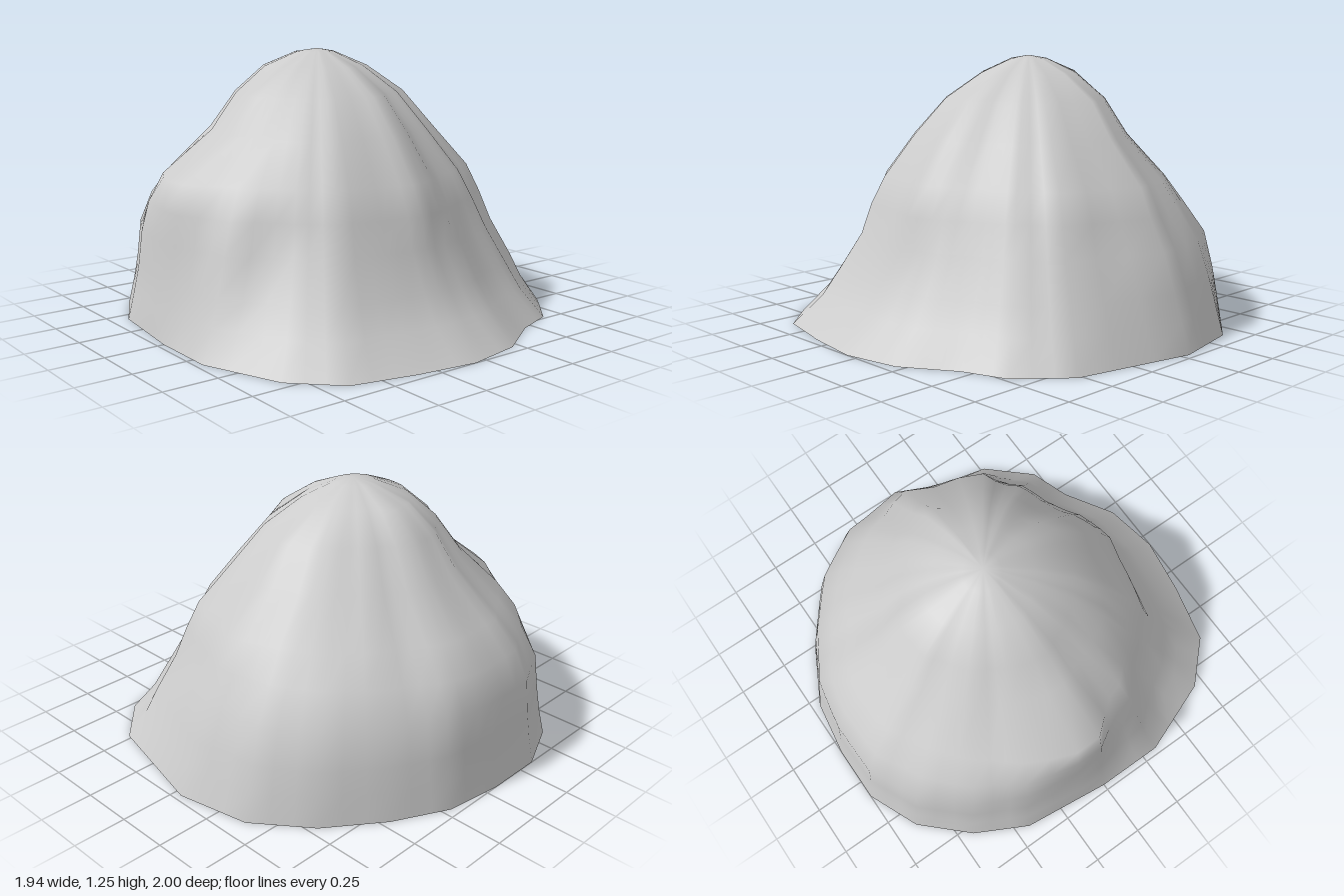
import * as THREE from 'three';

// Ground outline as [x, z], running from the back round the model's left to the front
const OUTLINE = [
  [-0.34, -1], [-0.06, -1], [0.21, -0.96], [0.46, -0.83], [0.71, -0.64], [0.9, -0.39], [0.97, -0.04],
  [0.84, 0.52], [0.65, 0.73], [0.45, 0.8], [0.21, 0.95], [-0.06, 1], [-0.34, 0.96], [-0.64, 0.89],
  [-0.83, 0.7], [-0.97, 0.33], [-0.97, 0], [-0.92, -0.43], [-0.79, -0.68], [-0.59, -0.89],
];
const AXIS = { x: -0.06, z: -0.1 };
const HEIGHTS = [0, 0.13, 0.25, 0.42, 0.56, 0.69, 0.88, 1.05, 1.17, 1.235];

// Radius at each height, by direction in degrees from +x towards +z
const PROFILES = [
  { deg: 0, r: [1.03, 0.985, 0.945, 0.88, 0.79, 0.72, 0.54, 0.42, 0.24, 0.09] },
  { deg: 25, r: [1.03, 0.96, 0.91, 0.82, 0.77, 0.71, 0.54, 0.4, 0.23, 0.08] },
  { deg: 45, r: [1.09, 0.98, 0.91, 0.81, 0.74, 0.67, 0.52, 0.38, 0.22, 0.08] },
  { deg: 90, r: [1.1, 0.95, 0.87, 0.78, 0.75, 0.68, 0.55, 0.41, 0.23, 0.08] },
  { deg: 135, r: [1.11, 0.98, 0.9, 0.79, 0.74, 0.68, 0.54, 0.39, 0.22, 0.08] },
  { deg: 160, r: [0.98, 0.92, 0.88, 0.83, 0.79, 0.73, 0.53, 0.41, 0.24, 0.09] },
  { deg: 180, r: [0.91, 0.89, 0.865, 0.85, 0.835, 0.81, 0.54, 0.42, 0.26, 0.1] },
  { deg: 203, r: [0.93, 0.9, 0.875, 0.855, 0.82, 0.75, 0.52, 0.4, 0.26, 0.1] },
  { deg: 225, r: [0.93, 0.9, 0.88, 0.86, 0.79, 0.68, 0.5, 0.38, 0.25, 0.1] },
  { deg: 270, r: [0.9, 0.88, 0.865, 0.85, 0.79, 0.69, 0.51, 0.41, 0.28, 0.1] },
  { deg: 315, r: [0.94, 0.92, 0.9, 0.86, 0.76, 0.66, 0.48, 0.37, 0.23, 0.09] },
];

// Share of the ground radius kept at a level, blended between directions
function taper(angle, level) {
  const deg = (THREE.MathUtils.radToDeg(angle) + 360) % 360;
  const i = PROFILES.findLastIndex((p) => p.deg <= deg);
  const from = PROFILES[i], to = PROFILES[(i + 1) % PROFILES.length];
  const t = THREE.MathUtils.smoothstep(deg, from.deg, to.deg || 360);
  return THREE.MathUtils.lerp(from.r[level] / from.r[0], to.r[level] / to.r[0], t);
}

// Radial folds running down from the peak, fading out at the ground
function fold(angle, y) {
  const strength = 0.03 * THREE.MathUtils.smoothstep(y, 0.35, 0.8);
  return 1 + strength * (0.5 * Math.cos(8 * angle) + 0.5 * Math.sin(13 * angle + 1));
}

function geometryFrom(positions, indices) {
  const g = new THREE.BufferGeometry();
  g.setAttribute('position', new THREE.Float32BufferAttribute(positions, 3));
  g.setIndex(indices);
  g.computeVertexNormals();
  return g;
}

export function createModel() {
  const group = new THREE.Group();
  group.name = 'rockMound';
  const material = new THREE.MeshStandardMaterial({ color: 0xcccccc });

  // Ground ring, each outline edge split in three
  const ring = [];
  OUTLINE.forEach(([x, z], i) => {
    const [nx, nz] = OUTLINE[(i + 1) % OUTLINE.length];
    for (let k = 0; k < 3; k++) ring.push([x + (nx - x) * k / 3, z + (nz - z) * k / 3]);
  });
  const n = ring.length;

  // Slopes: one ring per height, closed by the peak
  const pos = [], idx = [];
  HEIGHTS.forEach((y, level) => {
    for (const [x, z] of ring) {
      const dx = x - AXIS.x, dz = z - AXIS.z;
      const angle = Math.atan2(dz, dx);
      const s = taper(angle, level) * fold(angle, y);
      pos.push(AXIS.x + dx * s, y, AXIS.z + dz * s);
    }
  });
  pos.push(AXIS.x, 1.25, AXIS.z);
  const peak = HEIGHTS.length * n;
  for (let level = 0; level < HEIGHTS.length; level++) {
    for (let i = 0; i < n; i++) {
      const a = level * n + i, b = level * n + (i + 1) % n;
      if (level === HEIGHTS.length - 1) idx.push(a, peak, b);
      else idx.push(a, a + n, b, b, a + n, b + n);
    }
  }
  const slopes = new THREE.Mesh(geometryFrom(pos, idx), material);
  slopes.name = 'slopes';

  // Flat underside
  const basePos = [AXIS.x, 0, AXIS.z], baseIdx = [];
  ring.forEach(([x, z], i) => {
    basePos.push(x, 0, z);
    baseIdx.push(0, i + 1, (i + 1) % n + 1);
  });
  const underside = new THREE.Mesh(geometryFrom(basePos, baseIdx), material);
  underside.name = 'underside';

  group.add(slopes, underside);
  return group;
}
